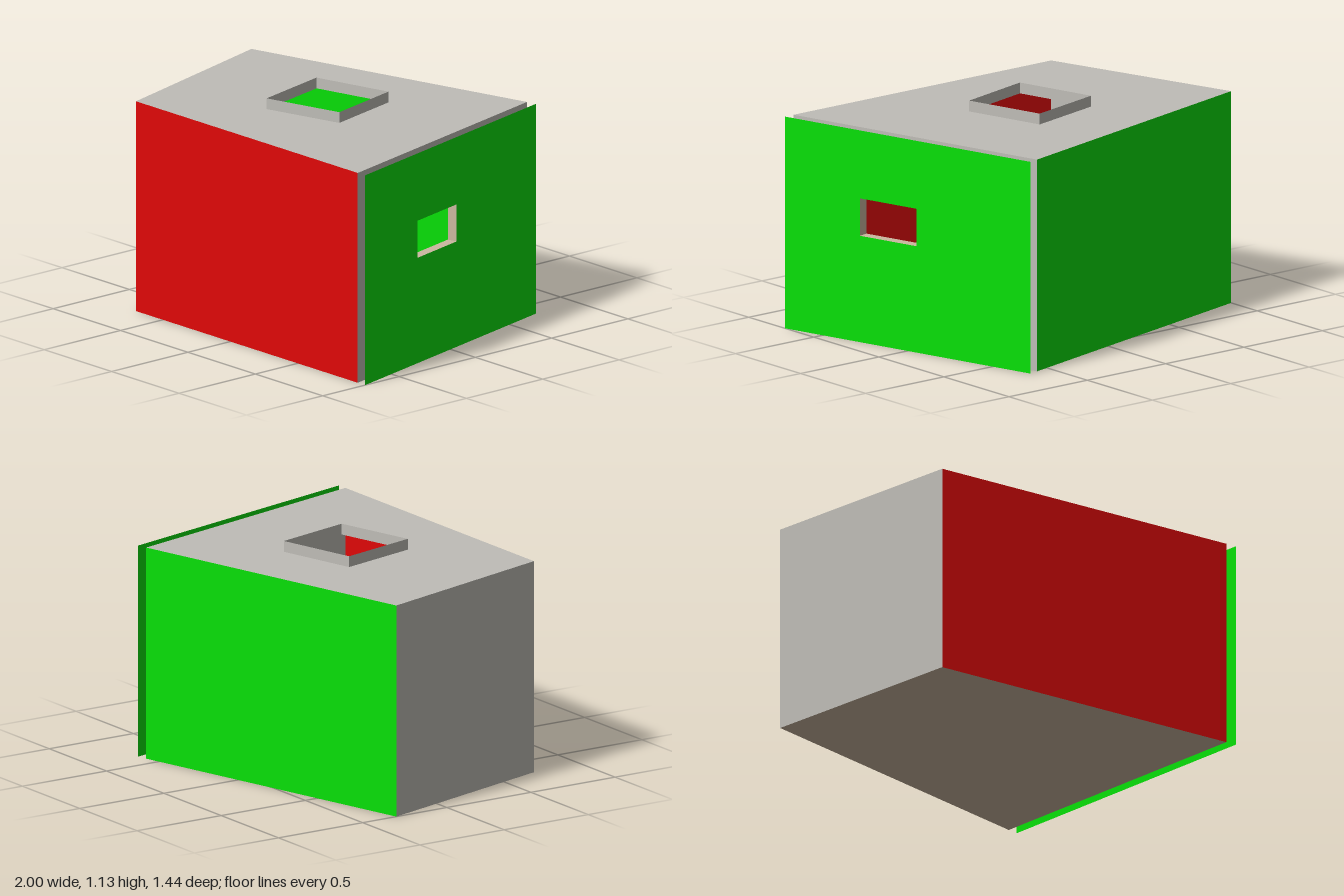
import * as THREE from 'three';

const material = (name, color) => new THREE.MeshStandardMaterial({ name, color, side: THREE.DoubleSide });

export function createModel() {
  const gray = material('wall gray', 0xbfbdb7);
  const brown = material('floor brown', 0xccb8a0);
  const red = material('front red', 0xe00808);
  const green = material('panel green', 0x08e008);

  const group = new THREE.Group();
  group.name = 'room';
  const H = 1.075;

  // Plan corners as [x, z]
  const A = [-1, -0.3], B = [0.58, -0.71], C = [0.945, 0.722], D = [-0.7, 0.722];
  const sheetBack = [0.633, -0.722], sheetFront = [1, 0.722];
  const skylight = [[-0.28, -0.09], [0.135, -0.195], [0.24, 0.22], [-0.175, 0.33]];
  const win = { y0: 0.54, y1: 0.73, inner: [-0.04, 0.292], outer: [-0.052, 0.28] };

  const toPoints = (list) => list.map(([x, y]) => new THREE.Vector2(x, y));
  const rect = (u0, u1, v0, v1) => [[u0, v0], [u1, v0], [u1, v1], [u0, v1]];

  const add = (name, geometry, mat) => {
    const mesh = new THREE.Mesh(geometry, mat);
    mesh.name = name;
    group.add(mesh);
  };

  // Flat sheet with an optional opening, placed on the plane spanned by u and v
  const sheet = (name, mat, outline, hole, origin, u, v) => {
    const shape = new THREE.Shape(toPoints(outline));
    if (hole) shape.holes.push(new THREE.Path(toPoints(hole)));
    const geometry = new THREE.ShapeGeometry(shape);
    const n = new THREE.Vector3().crossVectors(u, v);
    geometry.applyMatrix4(new THREE.Matrix4().makeBasis(u, v, n).setPosition(origin));
    add(name, geometry, mat);
  };

  // Upright wall between two plan points; the opening is given by its z range
  const wall = (name, mat, a, b, y0, y1, zRange) => {
    const u = new THREE.Vector3(b[0] - a[0], 0, b[1] - a[1]);
    const length = u.length();
    const along = (z) => length * (z - a[1]) / (b[1] - a[1]);
    const hole = zRange && rect(along(zRange[0]), along(zRange[1]), win.y0, win.y1);
    sheet(name, mat, rect(0, length, y0, y1), hole,
      new THREE.Vector3(a[0], 0, a[1]), u.normalize(), new THREE.Vector3(0, 1, 0));
  };

  // Horizontal sheet; a negative v axis makes it face upward
  const level = (name, mat, outline, y, hole) => {
    const flip = (list) => list.map(([x, z]) => [x, -z]);
    sheet(name, mat, flip(outline), hole && flip(hole), new THREE.Vector3(0, y, 0),
      new THREE.Vector3(1, 0, 0), new THREE.Vector3(0, 0, -1));
  };

  // Room shell
  level('floor', brown, [A, B, C, D], 0);
  level('ceiling', gray, [A, B, C, D], H, skylight);
  wall('frontWall', red, D, C, 0, H);
  wall('backWall', green, B, A, 0, H);
  wall('rightWall', gray, A, D, 0, H);
  wall('leftWall', gray, B, C, 0, H, win.inner);
  wall('leftOuterPanel', green, sheetBack, sheetFront, 0, H, win.outer);

  // Raised skylight rim
  skylight.forEach((p, i) => wall('skylightRim', gray, p, skylight[(i + 1) % 4], H, 1.13));

  // Window lining between the wall and its outer panel
  const onLine = (a, b, z) => [a[0] + (b[0] - a[0]) * (z - a[1]) / (b[1] - a[1]), z];
  const inner = win.inner.map((z) => onLine(B, C, z));
  const outer = win.outer.map((z) => onLine(sheetBack, sheetFront, z));
  const footprint = [inner[0], outer[0], outer[1], inner[1]];
  level('windowSill', brown, footprint, win.y0);
  level('windowHead', brown, footprint, win.y1);
  for (const i of [0, 1]) wall('windowJamb', brown, inner[i], outer[i], win.y0, win.y1);

  return group;
}
